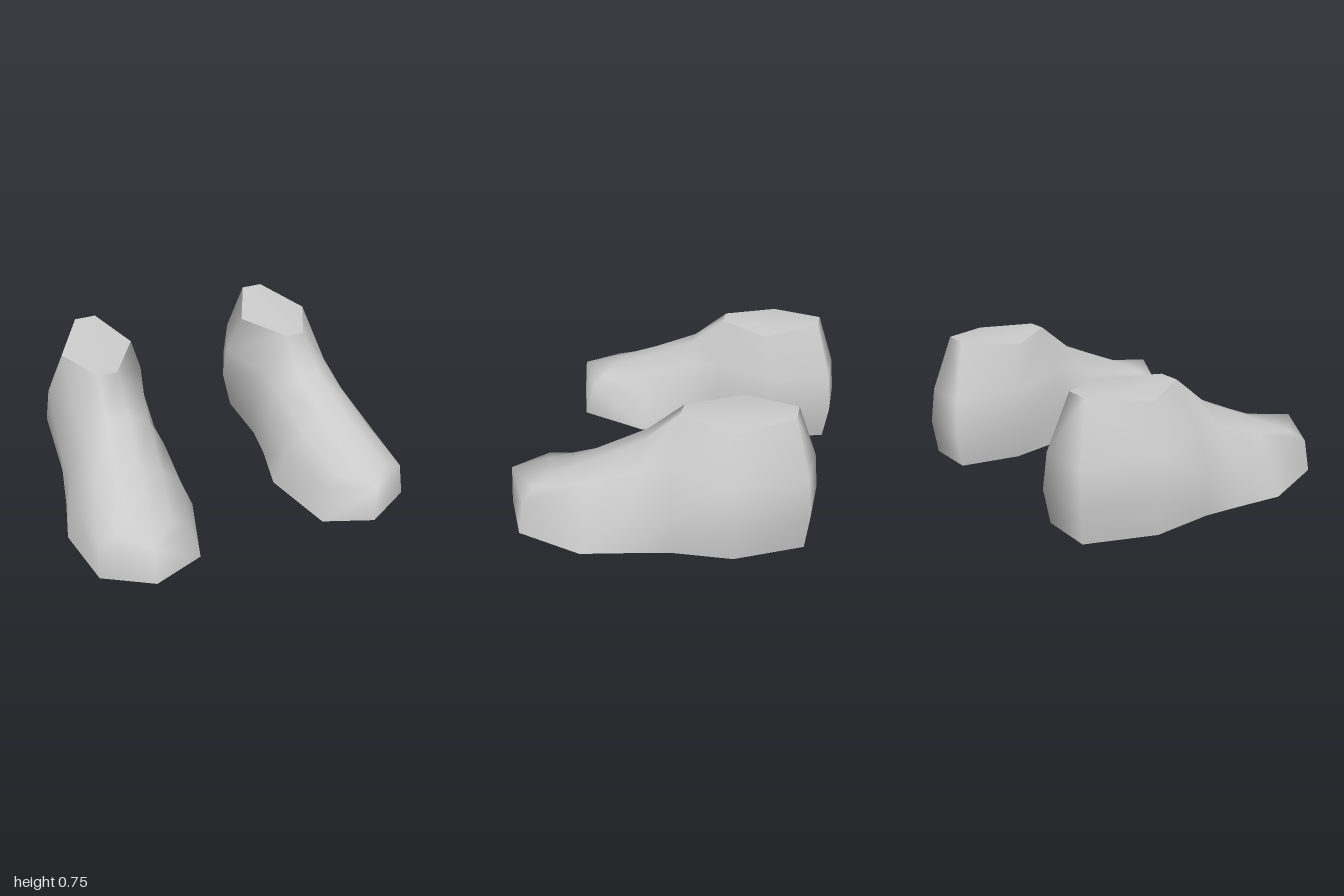
import * as THREE from 'three';
import { mergeVertices } from 'three/addons/utils/BufferGeometryUtils.js';

// Cross-sections of the left foot from heel to toe tip. Each runs over the foot:
// inner sole, inner side, inner upper, inner top, outer top, outer upper, outer side, outer sole.
const heelBack = [[.43, .02, -.82], [.415, .22, -.85], [.43, .43, -.83], [.495, .75, -.73],
  [.62, .75, -.73], [.69, .43, -.825], [.715, .22, -.845], [.7, .02, -.825]];
const heel = [[.32, .02, -.5], [.275, .25, -.52], [.29, .46, -.5], [.36, .705, -.43],
  [.78, .705, -.43], [.88, .46, -.46], [.91, .25, -.48], [.88, .02, -.48]];
const ankle = [[.34, .015, -.15], [.325, .25, -.15], [.38, .48, -.14], [.53, .705, -.14],
  [.64, .705, -.14], [.8, .48, -.14], [.905, .25, -.15], [.9, .015, -.15]];
const instep = [[.315, .01, .06], [.325, .25, .04], [.41, .44, .03], [.53, .53, .06],
  [.66, .53, .06], [.79, .43, .05], [.9, .25, .05], [.945, .01, .06]];
const ball = [[.26, 0, .32], [.33, .2, .32], [.44, .32, .33], [.57, .39, .34],
  [.7, .39, .34], [.82, .32, .33], [.925, .2, .32], [1, 0, .32]];
const toes = [[.37, .01, .74], [.405, .2, .69], [.5, .235, .65], [.6, .267, .6],
  [.7, .267, .6], [.8, .235, .64], [.9, .2, .66], [.92, .01, .69]];
const low = [.65, .01, .84], high = [.65, .24, .82];
const tip = [low, high, high, high, high, high, high, low];
const sections = [heelBack, heel, ankle, instep, ball, toes, tip];

// Smooth surface from polygons of corner points; side = -1 mirrors it
function surface(polygons, side) {
  const pos = [];
  for (const p of polygons) {
    for (let i = 1; i < p.length - 1; i++) {
      const tri = side > 0 ? [p[0], p[i], p[i + 1]] : [p[0], p[i + 1], p[i]];
      for (const [x, y, z] of tri) pos.push(x * side, y, z);
    }
  }
  let geo = new THREE.BufferGeometry();
  geo.setAttribute('position', new THREE.Float32BufferAttribute(pos, 3));
  geo = mergeVertices(geo, 1e-4);
  geo.computeVertexNormals();
  return geo;
}

export function createModel() {
  const model = new THREE.Group();
  model.name = 'pairOfFeet';
  const grey = new THREE.MeshStandardMaterial({ color: 0xcccccc });
  grey.name = 'plainGrey';

  const upper = [], sole = [];
  for (let i = 0; i < sections.length - 1; i++) {
    const s = sections[i], n = sections[i + 1];
    for (let j = 0; j < 7; j++) {
      if (j === 3 && i < 2) continue; // opening for the ankle cut
      upper.push([s[j], n[j], n[j + 1], s[j + 1]]);
    }
    sole.push([s[0], s[7], n[7], n[0]]);
  }
  // Back of the heel
  for (let j = 0; j < 3; j++) {
    upper.push([heelBack[j], heelBack[j + 1], heelBack[6 - j], heelBack[7 - j]]);
  }
  // Six-sided flat cut at the ankle
  const cut = [
    [heelBack[3], ankle[3], ankle[4], heelBack[4]],
    [heelBack[3], heel[3], ankle[3]],
    [heelBack[4], ankle[4], heel[4]],
  ];

  for (const [name, side] of [['leftFoot', 1], ['rightFoot', -1]]) {
    const foot = new THREE.Group();
    foot.name = name;
    for (const [part, polygons] of [['upper', upper], ['sole', sole], ['ankleCut', cut]]) {
      const mesh = new THREE.Mesh(surface(polygons, side), grey);
      mesh.name = part;
      foot.add(mesh);
    }
    model.add(foot);
  }
  return model;
}
